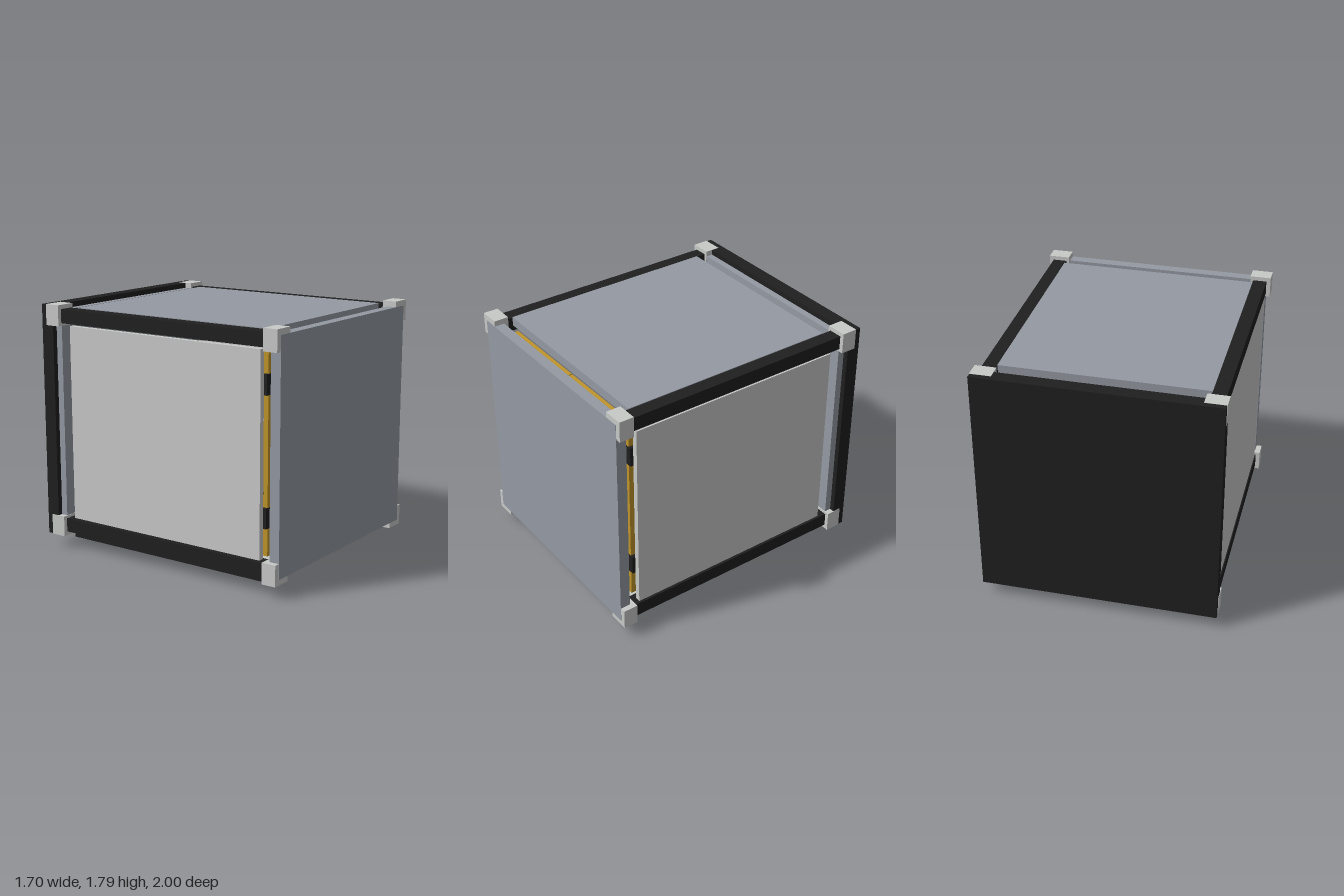
import * as THREE from 'three';

export function createModel() {
  const model = new THREE.Group();
  model.name = 'enclosure';

  const mat = (name, color) => {
    const m = new THREE.MeshStandardMaterial({ color });
    m.name = name;
    return m;
  };
  const black = mat('black', 0x1f1f1f);
  const slate = mat('slate grey', 0x959aa3);
  const light = mat('light grey', 0xc8cac8);
  const amber = mat('amber', 0xc0952a);

  // Box given by its low and high limits on each axis
  const box = (name, material, [x0, x1], [y0, y1], [z0, z1]) => {
    const mesh = new THREE.Mesh(new THREE.BoxGeometry(x1 - x0, y1 - y0, z1 - z0), material);
    mesh.position.set((x0 + x1) / 2, (y0 + y1) / 2, (z0 + z1) / 2);
    mesh.name = name;
    model.add(mesh);
    return mesh;
  };
  // The same box on both sides of x = 0
  const pair = (name, material, [x0, x1], y, z) => {
    box(name, material, [x0, x1], y, z);
    box(name, material, [-x1, -x0], y, z);
  };

  // Corner blocks
  for (const y of [[0.09, 0.24], [1.64, 1.79]]) {
    pair('frontCorner', light, [0.70, 0.85], y, [0.89, 0.998]);
    pair('backCorner', light, [0.70, 0.85], y, [-0.96, -0.845]);
  }

  // Long beams joining front and back corners
  for (const y of [[0.12, 0.22], [1.66, 1.76]]) {
    pair('beam', black, [0.72, 0.82], y, [-0.845, 0.89]);
  }

  // Outer panels
  box('frontPanel', slate, [-0.81, 0.81], [0.13, 1.75], [0.925, 1]);
  box('backLiner', slate, [-0.81, 0.81], [0.13, 1.75], [-0.9, -0.85]);
  box('backPanel', black, [-0.847, 0.847], [0.092, 1.788], [-1, -0.9]);
  box('topPanel', slate, [-0.722, 0.722], [1.70, 1.765], [-0.77, 0.845]);
  pair('sidePanel', light, [0.775, 0.815], [0.235, 1.645], [-0.77, 0.85]);

  // Floor and base frame
  box('floor', light, [-0.715, 0.715], [0.095, 0.125], [-0.77, 0.84]);
  pair('baseRail', black, [0.65, 0.74], [0.06, 0.105], [-0.84, 0.888]);
  box('baseFrontRail', black, [-0.71, 0.71], [0.06, 0.122], [0.80, 0.883]);
  box('baseBackRail', black, [-0.71, 0.71], [0.06, 0.122], [-0.81, -0.72]);

  // Inner double doors with hinges and handles
  pair('door', amber, [0.004, 0.715], [0.235, 1.645], [0.81, 0.845]);
  for (const y of [0.5, 1.4]) {
    pair('hinge', black, [0.67, 0.74], [y - 0.07, y + 0.07], [0.805, 0.85]);
  }
  pair('doorHandle', light, [0.035, 0.055], [1.17, 1.19], [0.845, 0.875]);

  // Equipment fixed under the floor
  box('controlBox', black, [0.23, 0.69], [0.035, 0.1], [-0.84, -0.58]);
  box('controlBoxCover', black, [0.26, 0.67], [0.02, 0.035], [-0.81, -0.6]);
  box('powerStrip', black, [0.63, 0.675], [0, 0.1], [-0.28, 0.36]);

  return model;
}
